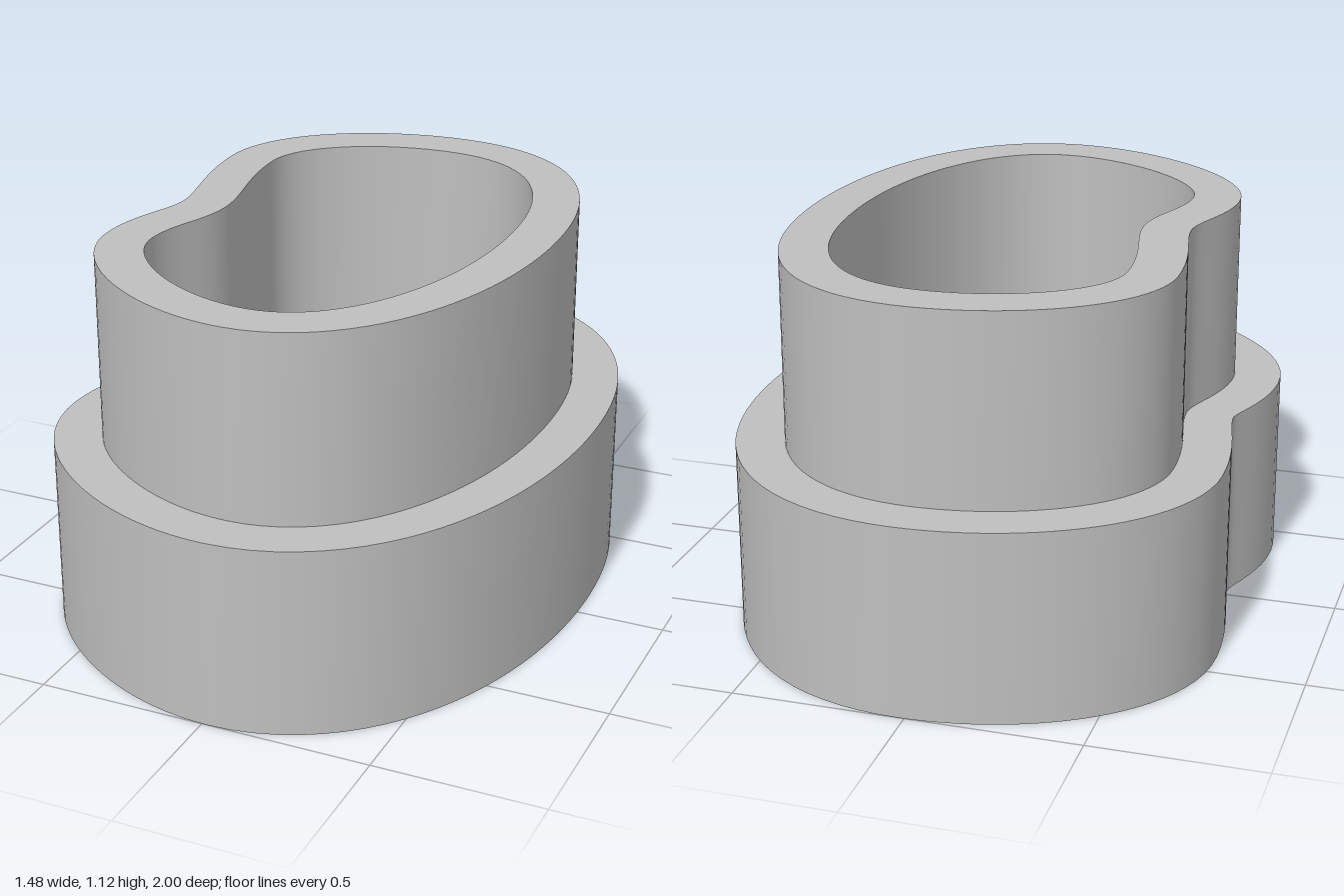
import * as THREE from 'three';
import { toCreasedNormals } from 'three/addons/utils/BufferGeometryUtils.js';

// Bore outline seen from above, as Bezier arcs in (x, z), clockwise from the back
const boreArcs = [
  [0.02, -0.72, 0.32, -0.72, 0.458, -0.45, 0.458, -0.06],
  [0.458, -0.06, 0.458, 0.35, 0.29, 0.72, 0.02, 0.72],
  [0.02, 0.72, -0.2, 0.72, -0.462, 0.51, -0.462, 0.35],
  [-0.462, 0.35, -0.462, 0.22, -0.39, 0.155, -0.39, 0.025],
  [-0.39, 0.025, -0.39, -0.095, -0.45, -0.22, -0.45, -0.41],
  [-0.45, -0.41, -0.45, -0.58, -0.22, -0.72, 0.02, -0.72],
];

// Wall cross-section: [distance outward from the bore, height]
const wallProfile = [
  [0, 0], [0.28, 0], [0.28, 0.56], [0.14, 0.56], [0.14, 1.12], [0, 1.12],
];

// Points around the bore with their outward directions
function sampleBore(perArc) {
  const samples = [];
  for (const [a, b, c, d, e, f, g, h] of boreArcs) {
    const arc = new THREE.CubicBezierCurve(
      new THREE.Vector2(a, b), new THREE.Vector2(c, d),
      new THREE.Vector2(e, f), new THREE.Vector2(g, h));
    for (let i = 0; i < perArc; i++) {
      const p = arc.getPoint(i / perArc);
      const t = arc.getTangent(i / perArc);
      samples.push({ p, nx: t.y, nz: -t.x });
    }
  }
  return samples;
}

// Sweep the wall section around the bore
function sweepWall() {
  const samples = sampleBore(24);
  const n = samples.length, m = wallProfile.length;
  const positions = [], indices = [];
  for (const { p, nx, nz } of samples) {
    for (const [out, y] of wallProfile) positions.push(p.x + nx * out, y, p.y + nz * out);
  }
  for (let i = 0; i < n; i++) {
    for (let j = 0; j < m; j++) {
      const i2 = (i + 1) % n, j2 = (j + 1) % m;
      const a = i * m + j, b = i * m + j2, c = i2 * m + j2, d = i2 * m + j;
      indices.push(a, b, d, b, c, d);
    }
  }
  const geometry = new THREE.BufferGeometry();
  geometry.setAttribute('position', new THREE.Float32BufferAttribute(positions, 3));
  geometry.setIndex(indices);
  return toCreasedNormals(geometry, 0.7);
}

export function createModel() {
  const group = new THREE.Group();
  group.name = 'steppedSleeve';
  const grey = new THREE.MeshStandardMaterial({ color: 0xbfbfbf });
  grey.name = 'light grey';

  // Wide lower flange and narrower collar as one continuous wall
  const wall = new THREE.Mesh(sweepWall(), grey);
  wall.name = 'flangeAndCollar';
  group.add(wall);
  return group;
}
